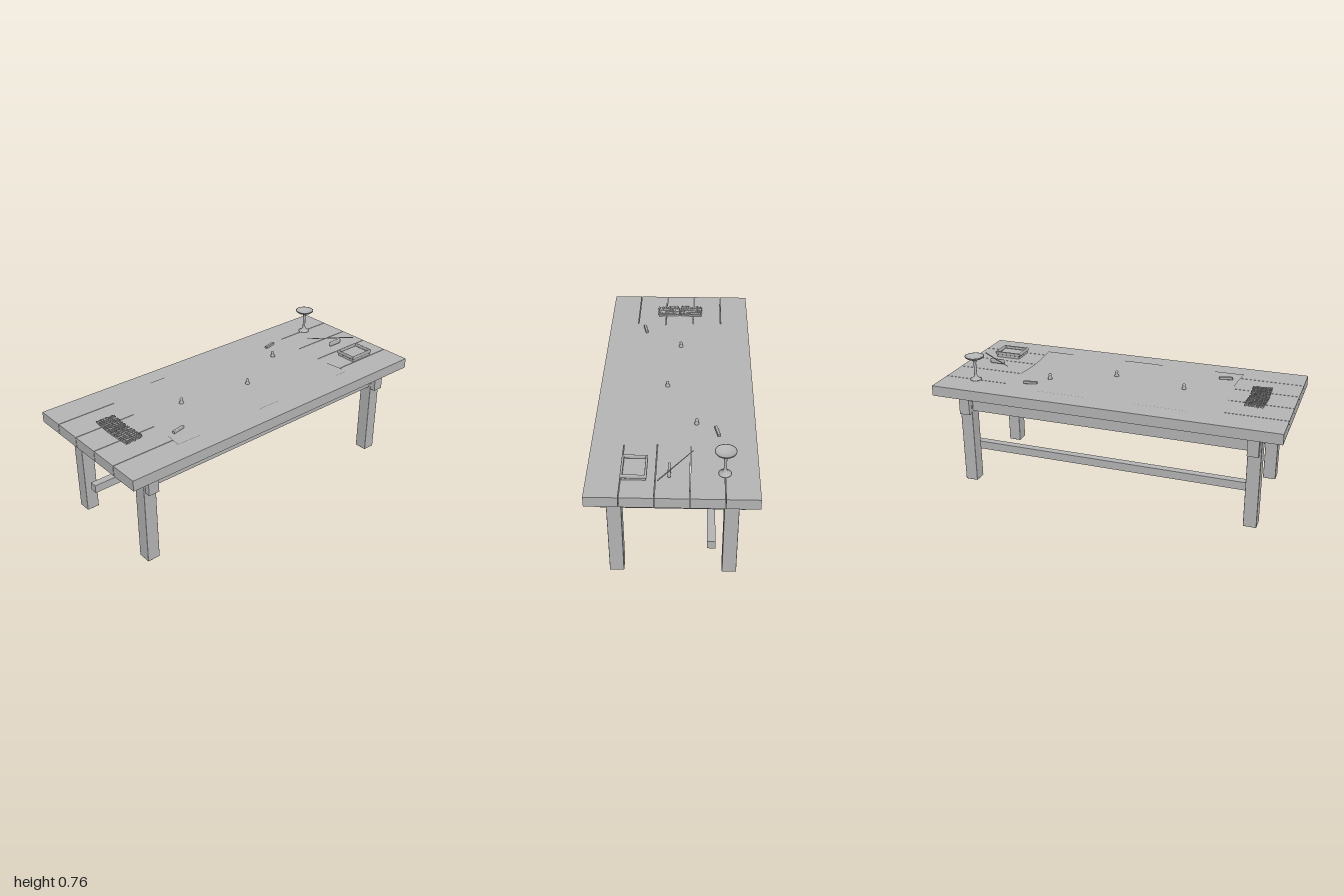
import * as THREE from 'three';
import { RoundedBoxGeometry } from 'three/addons/geometries/RoundedBoxGeometry.js';

const TOP = 0.62; // height of the table surface

export function createModel() {
  const root = new THREE.Group();
  root.name = 'table';
  const grey = new THREE.MeshStandardMaterial({ color: 0xb3b3b3 });
  grey.name = 'plain grey';
  const greySheet = grey.clone();
  greySheet.side = THREE.DoubleSide;

  const add = (name, geometry, x, y, z, parent = root, material = grey) => {
    const mesh = new THREE.Mesh(geometry, material);
    mesh.name = name;
    mesh.position.set(x, y, z);
    parent.add(mesh);
    return mesh;
  };
  // box given by its limits on each axis
  const block = (name, x0, x1, y0, y1, z0, z1, parent) =>
    add(name, new THREE.BoxGeometry(x1 - x0, y1 - y0, z1 - z0),
      (x0 + x1) / 2, (y0 + y1) / 2, (z0 + z1) / 2, parent);
  const lathe = (points, sides) =>
    new THREE.LatheGeometry(points.map(([r, y]) => new THREE.Vector2(r, y)), sides);

  // five planks with narrow gaps between them
  for (let i = -2; i <= 2; i++) {
    const z = i * 0.1725;
    block('plank', -1, 1, 0.56, TOP, z - 0.0845, z + 0.0845);
  }

  // legs, long aprons and end aprons
  for (const sx of [-1, 1]) {
    for (const sz of [-1, 1]) {
      add('leg', new RoundedBoxGeometry(0.074, 0.56, 0.076, 1, 0.003), sx * 0.844, 0.28, sz * 0.297);
    }
    const x = sx * 0.84;
    block('endApron', x - 0.031, x + 0.031, 0.438, 0.56, -0.365, 0.366);
  }
  for (const sz of [-1, 1]) {
    block('longApron', -0.81, 0.81, 0.45, 0.56, sz * 0.297 - 0.025, sz * 0.297 + 0.025);
  }
  block('stretcher', -0.865, 0.865, 0.157, 0.205, -0.221, -0.178);

  // gently rippled sheet with uneven ends
  const sheet = new THREE.PlaneGeometry(1.24, 0.63, 40, 20).rotateX(-Math.PI / 2);
  const p = sheet.attributes.position;
  for (let i = 0; i < p.count; i++) {
    const x = p.getX(i), z = p.getZ(i);
    p.setX(i, x + 0.012 * Math.sin(z * 9 + 0.6) * Math.sign(-x) * Math.min(1, Math.abs(x) / 0.5));
    p.setY(i, 0.0012 * Math.sin(x * 11 + z * 5));
  }
  sheet.computeVertexNormals();
  add('sheet', sheet, -0.02, TOP + 0.003, 0, root, greySheet);

  // goblet with a wide shallow bowl
  add('goblet', lathe([
    [0, 0], [0.032, 0], [0.032, 0.005], [0.022, 0.01], [0.012, 0.019], [0.008, 0.034],
    [0.0075, 0.1], [0.011, 0.115], [0.026, 0.124], [0.043, 0.131], [0.053, 0.139],
    [0.055, 0.145], [0.051, 0.145], [0.041, 0.137], [0.02, 0.13], [0, 0.128],
  ], 32), 0.81, TOP, -0.258);

  // shallow tray: two stacked frames around a low floor
  const tray = new THREE.Group();
  tray.name = 'tray';
  tray.position.set(0.796, TOP, 0.193);
  root.add(tray);
  block('trayFloor', -0.074, 0.074, 0.001, 0.017, -0.06, 0.06, tray);
  for (const s of [-1, 1]) {
    add('traySide', new RoundedBoxGeometry(0.165, 0.019, 0.012, 2, 0.005), 0, 0.0265, s * 0.06, tray);
    add('trayEnd', new RoundedBoxGeometry(0.012, 0.019, 0.132, 2, 0.005), s * 0.077, 0.0265, 0, tray);
  }

  // thin pen above a small rest
  const pen = add('pen', new THREE.CylinderGeometry(0.0035, 0.002, 0.292, 8), 0.798, 0.66, -0.014);
  pen.quaternion.setFromUnitVectors(new THREE.Vector3(0, 1, 0), new THREE.Vector3(0.235, 0, 0.172).normalize());
  add('penRest', new RoundedBoxGeometry(0.09, 0.028, 0.015, 2, 0.006), 0.81, 0.638, 0.018);

  // small loose bars
  for (const [x, z] of [[-0.56, 0.207], [0.48, -0.225]]) {
    add('smallBar', new RoundedBoxGeometry(0.08, 0.016, 0.016, 2, 0.004), x, 0.632, z).rotation.y = 0.22;
  }

  // three little game pieces
  for (const [x, z] of [[-0.37, -0.015], [0.055, 0.052], [0.405, -0.115]]) {
    add('gamePiece', lathe([
      [0, 0], [0.013, 0], [0.013, 0.006], [0.01, 0.011], [0.007, 0.021], [0.009, 0.025],
      [0.009, 0.031], [0.005, 0.035], [0, 0.036],
    ], 16), x, TOP + 0.001, z);
  }

  // two mats of thin slats tied with cords
  for (const s of [-1, 1]) {
    const mat = new THREE.Group();
    mat.name = 'slatMat';
    mat.position.set(-0.793, TOP, s * 0.071);
    mat.rotation.y = s * 0.06;
    root.add(mat);
    for (let i = 0; i < 9; i++) {
      const x = (i - 4) * 0.0118;
      add('slat', new THREE.BoxGeometry(0.009, 0.01, 0.133), x, 0.007 + 0.002 * (i % 2),
        0.004 * Math.sin(i * 2.1), mat).rotation.y = 0.03 * Math.sin(i * 1.7);
    }
    for (let j = 0; j < 8; j++) {
      const cord = new THREE.CylinderGeometry(0.0022, 0.0022, 0.112, 6).rotateZ(Math.PI / 2);
      add('cord', cord, 0, 0.0145, (j - 3.5) * 0.0165, mat).rotation.y = 0.08 * Math.sin(j * 1.9);
    }
  }
  return root;
}
